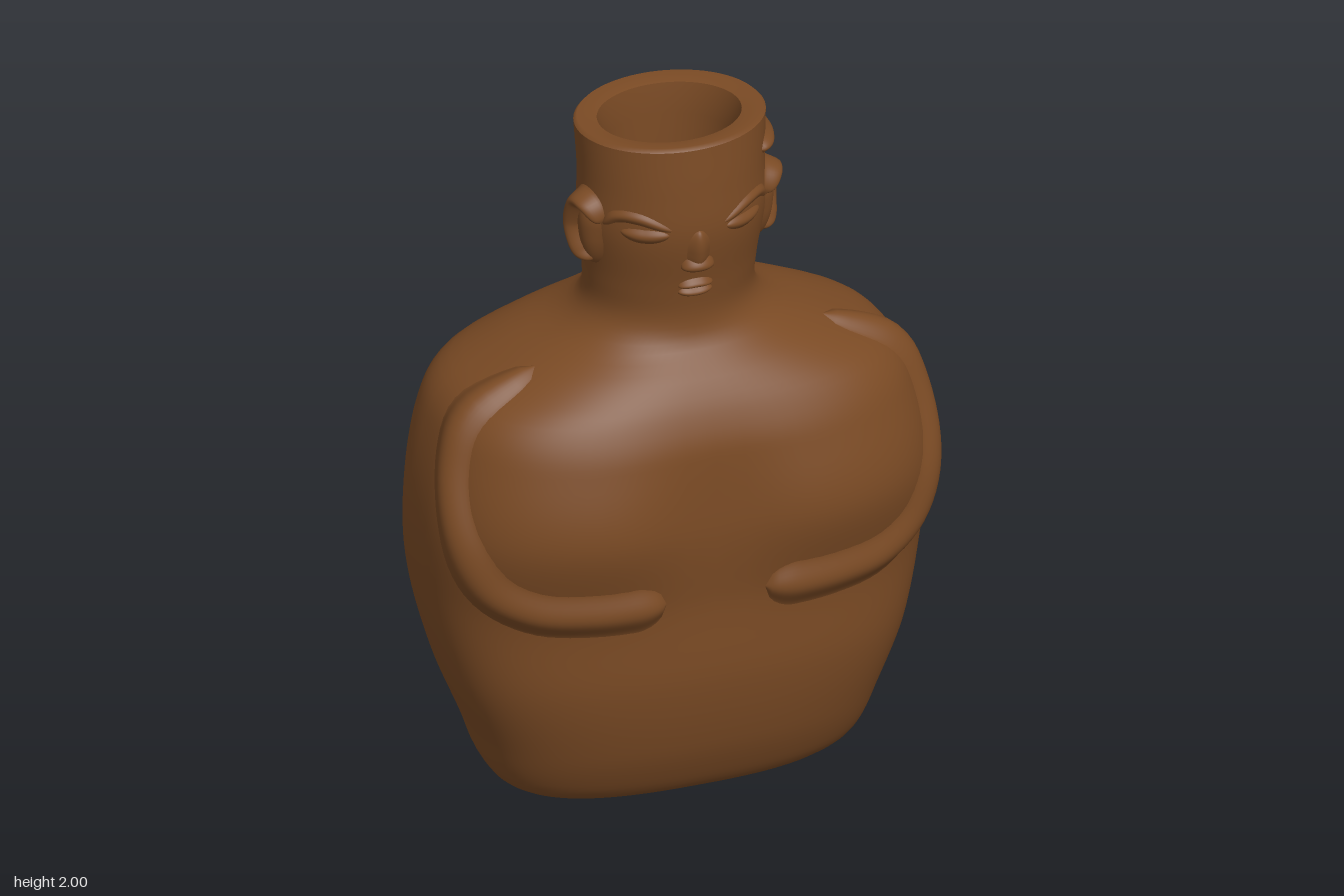
import * as THREE from 'three';

const clay = new THREE.MeshStandardMaterial({ color: 0x7a4a24 });
clay.name = 'brown clay';

// Outer profile: y, half width, front z, back z, squareness
const PROFILE = [
  [0.00, 0.40, 0.21, -0.18, 2.5],
  [0.02, 0.47, 0.25, -0.22, 2.6],
  [0.07, 0.525, 0.29, -0.265, 2.7],
  [0.20, 0.575, 0.345, -0.315, 2.7],
  [0.40, 0.65, 0.385, -0.375, 2.7],
  [0.65, 0.705, 0.395, -0.43, 2.6],
  [0.90, 0.715, 0.455, -0.43, 2.6],
  [1.12, 0.675, 0.41, -0.415, 2.6],
  [1.23, 0.61, 0.36, -0.385, 2.6],
  [1.31, 0.46, 0.305, -0.335, 2.4],
  [1.38, 0.31, 0.24, -0.265, 2.2],
  [1.45, 0.245, 0.22, -0.20, 2],
  [1.55, 0.24, 0.23, -0.185, 2],
  [1.72, 0.26, 0.262, -0.185, 2],
  [1.85, 0.258, 0.258, -0.185, 2],
  [1.99, 0.265, 0.245, -0.19, 2],
];

// Smooth interpolation of the profile at height y
function sectionAt(y) {
  const P = PROFILE, last = P.length - 1;
  let i = 0;
  while (i < last - 1 && y > P[i + 1][0]) i++;
  const h = P[i + 1][0] - P[i][0], t = (y - P[i][0]) / h;
  const slope = (k, c) => {
    const a = P[Math.max(k - 1, 0)], b = P[Math.min(k + 1, last)];
    return (b[c] - a[c]) / (b[0] - a[0]);
  };
  const out = [y];
  for (let c = 1; c < 5; c++) {
    const t2 = t * t, t3 = t2 * t;
    out[c] = P[i][c] * (2 * t3 - 3 * t2 + 1) + P[i + 1][c] * (3 * t2 - 2 * t3)
      + h * (slope(i, c) * (t3 - 2 * t2 + t) + slope(i + 1, c) * (t3 - t2));
  }
  return out;
}

// Point of a rounded section; angle 0 is +x, 90 degrees is the front
function sectionPoint([y, w, zf, zb, n], a) {
  const bend = (v) => Math.sign(v) * Math.abs(v) ** (2 / n);
  const zc = (zf + zb) / 2;
  return new THREE.Vector3(w * bend(Math.cos(a)), y, zc + (zf - zc) * bend(Math.sin(a)));
}

// Body surface: shallow hollow between the chest halves, slightly slanted back
function surface(y, a) {
  const p = sectionPoint(sectionAt(y), a);
  if (p.z > 0) p.z -= 0.055 * Math.exp(-((p.x / 0.2) ** 2) - ((y - 0.92) / 0.2) ** 2);
  else p.z -= 0.07 * p.x * p.z;
  return p;
}

// Surface derivatives along angle and height, and the outward normal
function frameAt(y, a) {
  const da = surface(y, a + 0.02).sub(surface(y, a - 0.02)).divideScalar(0.04);
  const dy = surface(y + 0.01, a).sub(surface(y - 0.01, a)).divideScalar(0.02);
  return { da, dy, normal: dy.clone().cross(da).normalize() };
}

function meshFrom(name, pos, idx) {
  const g = new THREE.BufferGeometry();
  g.setAttribute('position', new THREE.Float32BufferAttribute(pos, 3));
  g.setIndex(idx);
  g.computeVertexNormals();
  const mesh = new THREE.Mesh(g, clay);
  mesh.name = name;
  return mesh;
}

// Skin a stack of rings
function loft(name, rings, pointAt, seg = 96) {
  const pos = [], idx = [];
  rings.forEach((ring, i) => {
    for (let j = 0; j < seg; j++) {
      pos.push(...pointAt(ring, (j / seg) * Math.PI * 2).toArray());
      if (i === rings.length - 1) continue;
      const k = (j + 1) % seg, a = i * seg + j, b = i * seg + k;
      idx.push(a, a + seg, b, b, a + seg, b + seg);
    }
  });
  return meshFrom(name, pos, idx);
}

// Soft swelling on the surface along [degrees, height] points, fading into it on all sides
function ridge(name, side, path, halfWidth, height, taper = 0.12) {
  const curve = new THREE.CatmullRomCurve3(path.map(([deg, y]) =>
    new THREE.Vector3(THREE.MathUtils.degToRad(side > 0 ? deg : 180 - deg), y, 0)));
  const rows = 48, cols = 16, pos = [], idx = [];
  for (let i = 0; i <= rows; i++) {
    const t = i / rows, c = curve.getPoint(t), d = curve.getTangent(t);
    const { da, dy, normal } = frameAt(c.y, c.x);
    const along = da.clone().multiplyScalar(d.x).addScaledVector(dy, d.y);
    const across = along.cross(normal).normalize();
    const stepA = across.dot(da) / da.lengthSq(), stepY = across.dot(dy) / dy.lengthSq();
    const e = Math.min(1, Math.min(t, 1 - t) / taper);
    const fade = Math.max(0.02, Math.sqrt(1 - (1 - e) ** 2));
    for (let j = 0; j <= cols; j++) {
      const s = (2 * j) / cols - 1, r = s * halfWidth * fade;
      const y = c.y + stepY * r, a = c.x + stepA * r;
      const lift = height * fade * Math.cos((s * Math.PI) / 2) ** 1.6 - 0.003;
      pos.push(...surface(y, a).addScaledVector(frameAt(y, a).normal, lift).toArray());
      if (i === rows || j === cols) continue;
      const k = i * (cols + 1) + j, up = k + cols + 1;
      idx.push(k, k + 1, up, k + 1, up + 1, up);
    }
  }
  return meshFrom(name, pos, idx);
}

export function createModel() {
  const model = new THREE.Group();
  model.name = 'figure bottle';

  // Outer shell from foot to rim
  const heights = [0, 0.01, 0.02, 0.035, 0.05];
  for (let i = 1; i <= 97; i++) heights.push(0.05 + 0.02 * i);
  model.add(loft('body', heights, surface));

  // Slightly hollowed foot
  model.add(loft('base', [
    [0.025, 0.002, 0.017, 0.013, 2], [0.02, 0.25, 0.13, -0.1, 2.3],
    [0.006, 0.36, 0.19, -0.16, 2.5], PROFILE[0],
  ], sectionPoint));

  // Mouth rim and inner cavity
  model.add(loft('rim', [
    PROFILE[PROFILE.length - 1], [2.0, 0.255, 0.235, -0.183, 2], [1.99, 0.2, 0.185, -0.135, 2],
  ], sectionPoint));
  model.add(loft('inside', [
    [1.99, 0.2, 0.185, -0.135, 2], [1.9, 0.175, 0.165, -0.125, 2], [1.55, 0.155, 0.14, -0.12, 2.4],
    [1.4, 0.165, 0.14, -0.13, 2.4], [1.25, 0.38, 0.2, -0.22, 2.4], [0.9, 0.58, 0.3, -0.3, 2.6],
    [0.2, 0.46, 0.22, -0.2, 2.6], [0.1, 0.4, 0.18, -0.16, 2.5],
  ], sectionPoint));
  model.add(loft('inside floor', [
    [0.1, 0.4, 0.18, -0.16, 2.5], [0.1, 0.002, 0.012, 0.008, 2],
  ], sectionPoint));

  for (const s of [1, -1]) {
    const name = s > 0 ? 'left' : 'right';
    // Arm running down the flank and folding over the belly
    model.add(ridge(name + ' arm', s, [
      [18, 1.325], [13, 1.22], [14, 1.08], [20, 0.92], [33, 0.77], [50, 0.695], [66, 0.68], [76, 0.68], [83, 0.685],
    ], 0.085, 0.036));

    // Ear: curled outer edge over a small lobe
    const ear = new THREE.Group();
    ear.name = name + ' ear';
    ear.add(ridge('ear edge', s, [
      [26, 1.75], [16, 1.795], [4, 1.785], [-2, 1.71], [6, 1.645], [18, 1.62],
    ], 0.042, 0.05, 0.25));
    ear.add(ridge('ear lobe', s, [[11, 1.8], [11, 1.71], [14, 1.6]], 0.07, 0.025, 0.4));
    model.add(ear);

    // Closed eyes and brows
    model.add(ridge(name + ' brow', s, [[26, 1.75], [36, 1.785], [52, 1.79], [74, 1.755]], 0.024, 0.012, 0.4));
    model.add(ridge(name + ' eyelid', s, [[40, 1.745], [56, 1.738], [72, 1.742]], 0.028, 0.014, 0.45));
  }

  // Nose and mouth
  model.add(ridge('nose bridge', 1, [[90, 1.75], [90, 1.68], [90, 1.61]], 0.04, 0.022, 0.45));
  model.add(ridge('nose tip', 1, [[79, 1.635], [90, 1.64], [101, 1.635]], 0.035, 0.03, 0.5));
  model.add(ridge('upper lip', 1, [[78, 1.568], [90, 1.573], [102, 1.568]], 0.02, 0.02, 0.4));
  model.add(ridge('lower lip', 1, [[78, 1.548], [90, 1.544], [102, 1.548]], 0.02, 0.018, 0.4));

  // Strip on one side of the head
  model.add(ridge('head strip', 1, [[32, 1.895], [15, 1.905], [-15, 1.91], [-45, 1.91]], 0.032, 0.028, 0.25));

  return model;
}
